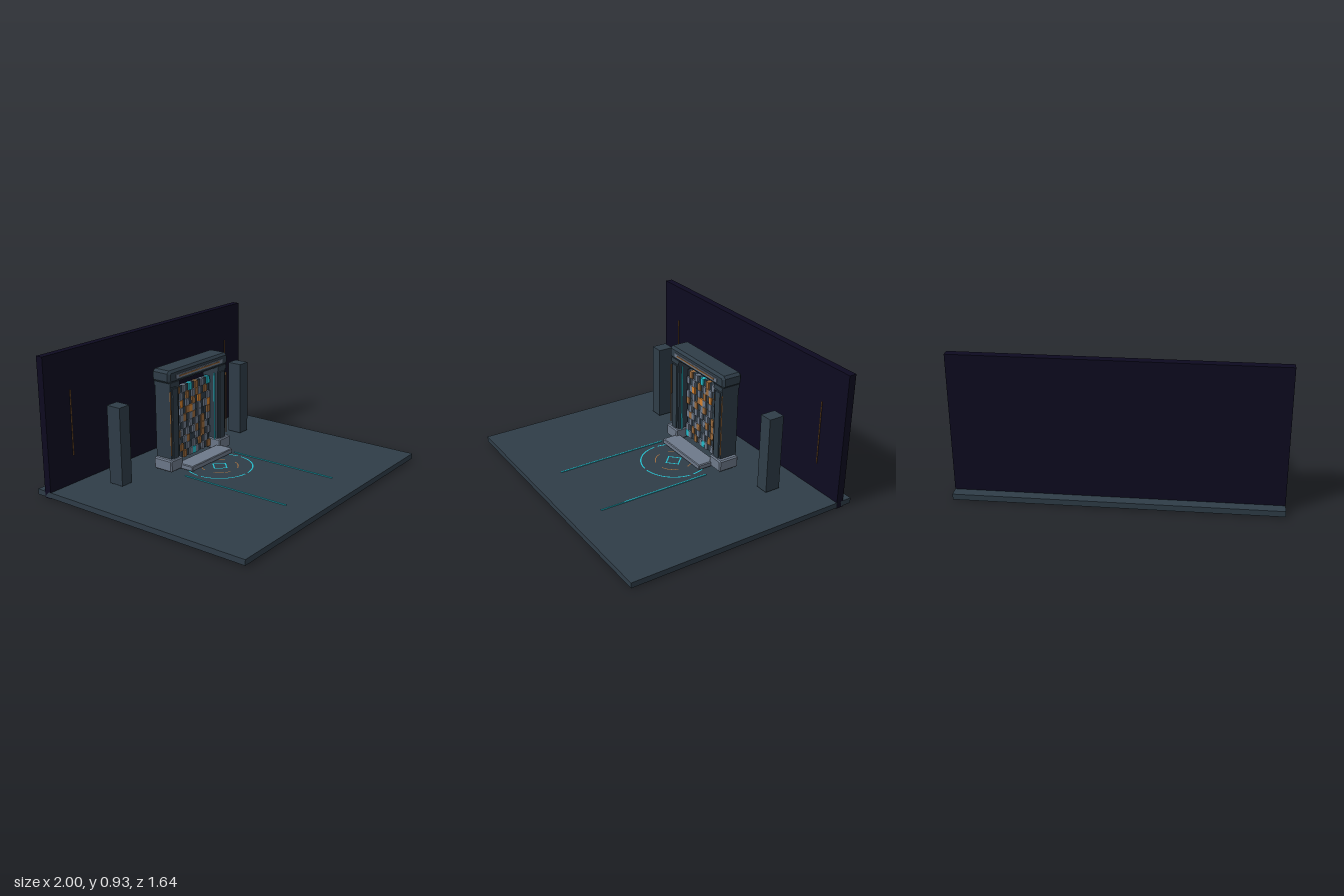
import * as THREE from 'three';

const mat = (name, color) => {
  const m = new THREE.MeshStandardMaterial({ color });
  m.name = name;
  return m;
};

export function createModel() {
  const root = new THREE.Group();
  root.name = 'gateChamber';
  const slate = mat('slate', 0x2f3d48);
  const navy = mat('navy', 0x0d0a20);
  const steel = mat('steel', 0x6d798a);
  const copper = mat('copper', 0x9a6a3c);
  const orange = mat('orange', 0xd5822f);
  const cyan = mat('cyan', 0x22bccb);

  const add = (name, geo, material, parent = root) => {
    const m = new THREE.Mesh(geo, material);
    m.name = name;
    parent.add(m);
    return m;
  };
  // Box given by its limits on each axis
  const box = (name, material, [x0, x1], [y0, y1], [z0, z1], parent = root) => {
    const g = new THREE.BoxGeometry(x1 - x0, y1 - y0, z1 - z0);
    g.translate((x0 + x1) / 2, (y0 + y1) / 2, (z0 + z1) / 2);
    return add(name, g, material, parent);
  };
  // Box with all edges chamfered by c
  const chamferBox = (name, material, [x0, x1], [y0, y1], [z0, z1], c, parent = root) => {
    const a = x0 + c, b = x1 - c, d = y0 + c, e = y1 - c, k = c * 0.5;
    const s = new THREE.Shape([
      [a + k, d], [b - k, d], [b, d + k], [b, e - k],
      [b - k, e], [a + k, e], [a, e - k], [a, d + k],
    ].map(([x, y]) => new THREE.Vector2(x, y)));
    const g = new THREE.ExtrudeGeometry(s, {
      depth: z1 - z0 - 2 * c, bevelEnabled: true, bevelThickness: c, bevelSize: c, bevelSegments: 1,
    });
    g.translate(0, 0, z0 + c);
    return add(name, g, material, parent);
  };

  // Floor slab and back wall
  box('floor', slate, [-1, 1], [0.005, 0.042], [-0.818, 0.818]);
  box('backWall', navy, [-1, 1], [0, 0.93], [-0.753, -0.702]);

  // Mirrored parts
  for (const s of [-1, 1]) {
    const span = (a, b) => (s > 0 ? [a, b] : [-b, -a]);
    const side = new THREE.Group();
    side.name = s > 0 ? 'leftSide' : 'rightSide';
    root.add(side);
    box('pillar', slate, span(0.59, 0.68), [0.058, 0.583], [-0.49, -0.383], side);
    box('wallLight', copper, span(0.797, 0.803), [0.24, 0.68], [-0.689, -0.683], side);
    box('floorLine', cyan, span(0.268, 0.277), [0.042, 0.047], [-0.2, 0.6], side);

    // Gate column with raised front ribs, collar and foot
    box('column', slate, span(0.208, 0.295), [0.06, 0.67], [-0.425, -0.298], side);
    box('columnRib', slate, span(0.225, 0.278), [0.14, 0.625], [-0.298, -0.289], side);
    box('columnCollar', slate, span(0.205, 0.298), [0.636, 0.668], [-0.43, -0.292], side);
    chamferBox('columnFoot', steel, span(0.2, 0.323), [0.06, 0.143], [-0.425, -0.275], 0.008, side);
    box('innerLight', cyan, span(0.2, 0.207), [0.1, 0.62], [-0.325, -0.319], side);
    box('outerLight', copper, span(0.295, 0.301), [0.17, 0.61], [-0.296, -0.29], side);
  }

  // Lintel with its inlay
  chamferBox('lintel', slate, [-0.313, 0.313], [0.662, 0.75], [-0.438, -0.288], 0.016);
  box('lintelInlay', steel, [-0.245, 0.245], [0.69, 0.716], [-0.29, -0.283]);
  box('lintelLight', copper, [-0.215, 0.215], [0.699, 0.707], [-0.285, -0.279]);

  // Doorstep
  chamferBox('doorstep', steel, [-0.222, 0.222], [0.058, 0.095], [-0.31, -0.178], 0.005);

  // Door made of coloured tiles: D slate, S steel, C copper, O orange, T cyan
  const kinds = { D: slate, S: steel, C: copper, O: orange, T: cyan };
  const rows = [
    'DCDSDTDCDSDT',
    'SDSDCDSCSDCD',
    'DSODSDCDODDS',
    'SDSDCOSDSDSO',
    'CDSCDSCDSDDC',
    'DSDSDSDSDCDS',
    'SCSDSDSCDCSD',
    'DSDSCDDSDCDS',
    'SDCDSDSDCDSD',
    'TSDCDSTSDSDC',
  ];
  const door = new THREE.Group();
  door.name = 'tiledDoor';
  root.add(door);
  const w = 0.0323, h = 0.0515;
  rows.forEach((row, j) => [...row].forEach((k, i) => {
    const x = -0.194 + i * w, y = 0.597 - j * h;
    const front = k === 'D' ? -0.362 : -0.353;
    box('tile', kinds[k], [x + 0.0008, x + w - 0.0008], [y - h + 0.002, y], [-0.385, front], door);
  }));
  box('doorBacking', navy, [-0.194, 0.194], [0.082, 0.597], [-0.395, -0.385], door);

  // Floor markings: broken rings around a diamond
  const marks = new THREE.Group();
  marks.name = 'floorMarkings';
  marks.position.set(0, 0.0455, -0.12);
  root.add(marks);
  const flat = (name, inner, outer, segs, start, length, material) => {
    const g = new THREE.RingGeometry(inner, outer, segs, 1, start, length);
    g.rotateX(-Math.PI / 2);
    add(name, g, material, marks);
  };
  for (let q = 0; q < 4; q++) {
    const a = (q * Math.PI) / 2;
    flat('outerArc', 0.219, 0.228, 20, a + 0.06, Math.PI / 2 - 0.12, cyan);
    flat('innerArc', 0.121, 0.128, 12, a + 0.3, Math.PI / 2 - 0.6, copper);
  }
  flat('diamond', 0.053, 0.066, 4, 0, Math.PI * 2, cyan);

  return root;
}
